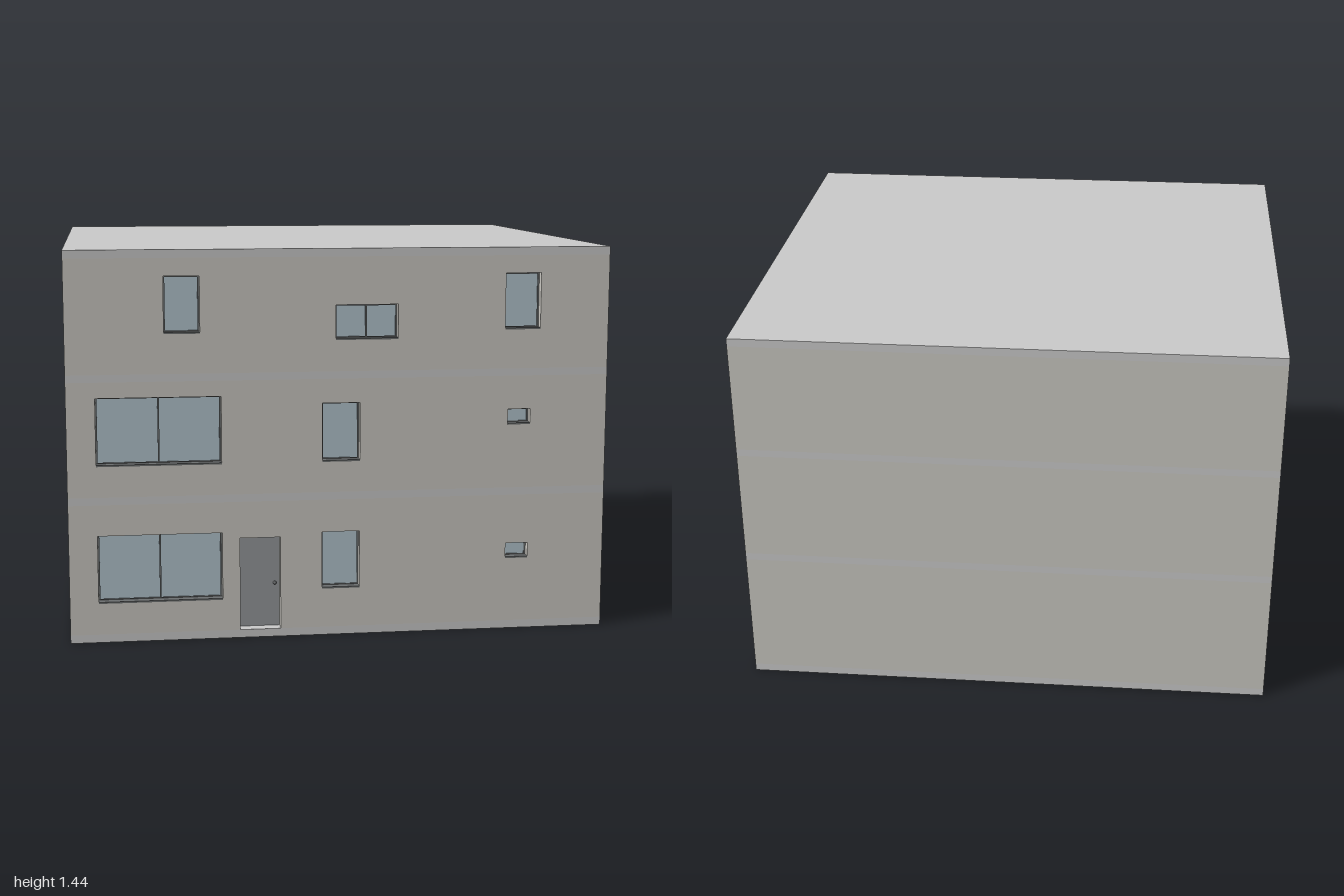
import * as THREE from 'three';

const W = 2, D = 1.88, T = 0.08, FRONT = D / 2;
const material = (color) => new THREE.MeshStandardMaterial({ color });
const wallMat = material(0xcccac3);
const slabMat = material(0xc0c0be);
const frameMat = material(0x6c6f70);
const glassMat = material(0xb4c6d0);
const doorMat = material(0x96999c);

// Floor slabs: [bottom, top]; each storey fills the gap between two slabs
const SLABS = [[0, 0.03], [0.515, 0.543], [0.965, 0.992], [1.41, 1.44]];

// Windows per storey: [left, right, bottom, top, panes]
const WINDOWS = [
  [[-0.895, -0.44, 0.15, 0.4, 2], [-0.07, 0.07, 0.18, 0.393, 1], [0.625, 0.71, 0.275, 0.33, 1]],
  [[-0.895, -0.44, 0.66, 0.907, 2], [-0.07, 0.07, 0.66, 0.875, 1], [0.625, 0.71, 0.785, 0.84, 1]],
  [[-0.645, -0.515, 1.14, 1.345, 1], [-0.02, 0.21, 1.11, 1.235, 2], [0.61, 0.742, 1.14, 1.345, 1]],
];
const DOOR = { x0: -0.375, x1: -0.225, top: 0.378 };

// Box given by its limits on each axis
function block(name, x0, x1, y0, y1, z0, z1, mat) {
  const mesh = new THREE.Mesh(new THREE.BoxGeometry(x1 - x0, y1 - y0, z1 - z0), mat);
  mesh.position.set((x0 + x1) / 2, (y0 + y1) / 2, (z0 + z1) / 2);
  mesh.name = name;
  return mesh;
}

function rectangle(x0, x1, y0, y1) {
  return [[x0, y0], [x1, y0], [x1, y1], [x0, y1]].map(([x, y]) => new THREE.Vector2(x, y));
}

// Front wall of a storey, with window holes and a notch for the door
function frontWall(y0, y1, windows, hasDoor) {
  const outline = rectangle(-W / 2, W / 2, y0, y1);
  if (hasDoor) {
    const { x0, x1, top } = DOOR;
    outline.splice(1, 0, ...[[x0, y0], [x0, top], [x1, top], [x1, y0]].map(([x, y]) => new THREE.Vector2(x, y)));
  }
  const shape = new THREE.Shape(outline);
  for (const [l, r, b, t] of windows) shape.holes.push(new THREE.Path(rectangle(l, r, b, t)));
  const mesh = new THREE.Mesh(new THREE.ExtrudeGeometry(shape, { depth: T, bevelEnabled: false }), wallMat);
  mesh.position.z = FRONT - T;
  mesh.name = 'frontWall';
  return mesh;
}

// Recessed glazing with a slim frame and mullions
function makeWindow([l, r, b, t, panes]) {
  const group = new THREE.Group();
  group.name = 'window';
  const f = 0.006, z0 = FRONT - 0.06, z1 = FRONT - 0.03;
  group.add(
    block('glass', l, r, b, t, z0, z1 - 0.005, glassMat),
    block('frameBottom', l, r, b, b + f, z0, z1, frameMat),
    block('frameTop', l, r, t - f, t, z0, z1, frameMat),
    block('frameLeft', l, l + f, b + f, t - f, z0, z1, frameMat),
    block('frameRight', r - f, r, b + f, t - f, z0, z1, frameMat),
  );
  for (let i = 1; i < panes; i++) {
    const x = l + ((r - l) * i) / panes;
    group.add(block('mullion', x - f / 2, x + f / 2, b + f, t - f, z0, z1, frameMat));
  }
  // Thin sill, just proud of the wall
  group.add(block('sill', l, r, b - 0.003, b + 0.003, z1, FRONT + 0.002, frameMat));
  return group;
}

// Recessed door leaf with a round knob
function makeDoor(y0) {
  const group = new THREE.Group();
  group.name = 'door';
  const face = FRONT - 0.045;
  group.add(block('doorLeaf', DOOR.x0, DOOR.x1, y0, DOOR.top, face - 0.03, face, doorMat));
  const knob = new THREE.Mesh(new THREE.SphereGeometry(0.007, 12, 8), frameMat);
  knob.position.set(DOOR.x1 - 0.018, y0 + 0.165, face + 0.006);
  knob.name = 'doorKnob';
  group.add(knob);
  return group;
}

export function createModel() {
  const model = new THREE.Group();
  model.name = 'building';

  SLABS.forEach(([y0, y1], i) => {
    const name = i === SLABS.length - 1 ? 'roofSlab' : 'floorSlab';
    model.add(block(name, -W / 2, W / 2, y0, y1, -FRONT, FRONT, slabMat));
  });

  WINDOWS.forEach((windows, i) => {
    const storey = new THREE.Group();
    storey.name = 'storey';
    const y0 = SLABS[i][1], y1 = SLABS[i + 1][0];
    storey.add(
      frontWall(y0, y1, windows, i === 0),
      block('backWall', -W / 2, W / 2, y0, y1, -FRONT, -FRONT + T, wallMat),
      block('leftWall', W / 2 - T, W / 2, y0, y1, -FRONT + T, FRONT - T, wallMat),
      block('rightWall', -W / 2, -W / 2 + T, y0, y1, -FRONT + T, FRONT - T, wallMat),
      ...windows.map(makeWindow),
    );
    if (i === 0) storey.add(makeDoor(y0));
    model.add(storey);
  });

  return model;
}
